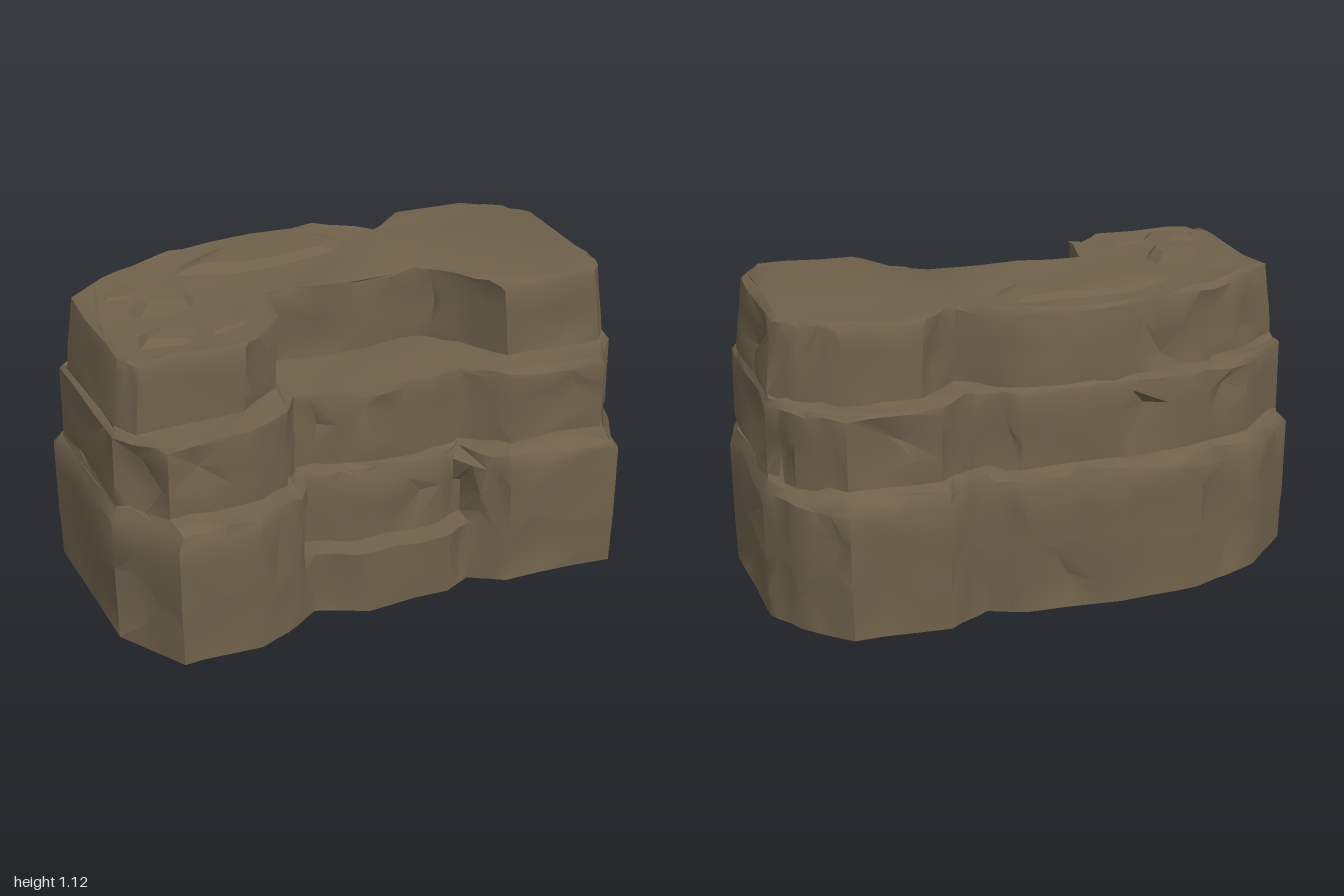
import * as THREE from 'three';
import { ConvexGeometry } from 'three/addons/geometries/ConvexGeometry.js';
import { toCreasedNormals } from 'three/addons/utils/BufferGeometryUtils.js';

const rock = new THREE.MeshStandardMaterial({ color: 0x6f614b, side: THREE.DoubleSide });
rock.name = 'brown rock';

// Outlines (x, z) of the three tiers; matching points lie above one another
const LOWER = [[-1, -.3], [-.8, -.5], [-.53, -.6], [-.22, -.62], [.13, -.59], [.26, -.53], [.42, -.62], [.77, -.6],
  [.92, -.45], [1, -.3], [1, .2], [.95, .36], [.85, .6], [.43, .57], [.31, .49], [.2, .55], [-.12, .55],
  [-.3, .47], [-.4, .54], [-.56, .61], [-.85, .6], [-1, .34]];
const MIDDLE = [[-.97, -.27], [-.76, -.45], [-.5, -.52], [-.22, -.53], [.12, -.5], [.27, -.43], [.42, -.53], [.75, -.51],
  [.9, -.38], [.97, -.26], [.96, .2], [.95, .33], [.83, .5], [.48, .48], [.32, .36], [.2, .39], [-.12, .38],
  [-.31, .32], [-.38, .42], [-.55, .5], [-.84, .49], [-.97, .3]];
const UPPER = [[-.93, -.22], [-.73, -.36], [-.5, -.44], [-.22, -.48], [.1, -.46], [.3, -.32], [.45, -.43], [.72, -.41],
  [.86, -.31], [.93, -.22], [.93, .18], [.92, .28], [.86, .36], [.5, .35], [.4, .18], [.28, .08], [0, .09],
  [-.31, .05], [-.34, .25], [-.5, .36], [-.88, .35], [-.93, .26]];

// Seeded random number between -1 and 1
let seed = 7;
const rand = () => {
  seed = (seed * 16807) % 2147483647;
  return seed / 1073741823.5 - 1;
};

// One horizontal ring: outline scaled, with dented points along each edge
function ring(outline, y, scale, dent, wobble) {
  const points = [];
  outline.forEach(([x, z], i) => {
    const [nx, nz] = outline[(i + 1) % outline.length];
    const length = Math.hypot(nx - x, nz - z);
    points.push(new THREE.Vector3(x * scale, y + rand() * wobble, z * scale));
    for (const part of [1 / 3, 2 / 3]) {
      const t = part + rand() * .13;
      const d = -dent * Math.max(0, rand()) * Math.min(1, length / .25);
      points.push(new THREE.Vector3(
        (x + (nx - x) * t + (nz - z) / length * d) * scale,
        y + rand() * wobble,
        (z + (nz - z) * t - (nx - x) / length * d) * scale));
    }
  });
  return points;
}

// Rough ring halfway between two others, for the ledges
const between = (a, b, wobble) => a.map((p, i) => {
  const q = p.clone().lerp(b[i], .5 + rand() * .3);
  q.y += rand() * wobble;
  return q;
});

// Skin stretched over a stack of rings, with an optional cap
function skin(rings, capped) {
  const n = rings[0].length, index = [];
  for (let r = 0; r < rings.length - 1; r++) {
    for (let i = 0; i < n; i++) {
      const a = r * n + i, b = r * n + (i + 1) % n, c = a + n, d = b + n;
      if (rand() > 0) index.push(a, c, b, b, c, d);
      else index.push(a, c, d, a, d, b);
    }
  }
  if (capped) {
    const flat = rings[rings.length - 1].map(p => new THREE.Vector2(p.x, p.z));
    const start = (rings.length - 1) * n;
    for (const [a, b, c] of THREE.ShapeUtils.triangulateShape(flat, [])) {
      const up = THREE.ShapeUtils.area([flat[a], flat[b], flat[c]]) < 0;
      index.push(start + a, start + (up ? b : c), start + (up ? c : b));
    }
  }
  const geometry = new THREE.BufferGeometry().setFromPoints(rings.flat());
  geometry.setIndex(index);
  return toCreasedNormals(geometry, .75);
}

// Faceted low mound with a smaller top face
function mound(rx, rz, height, sides) {
  const points = [];
  for (let i = 0; i < sides; i++) {
    const a = (i + rand() * .25) / sides * Math.PI * 2, k = 1 + rand() * .2;
    points.push(new THREE.Vector3(Math.cos(a) * rx * k, -.03, Math.sin(a) * rz * k));
    points.push(new THREE.Vector3(Math.cos(a) * rx * k * .6, height + rand() * .004, Math.sin(a) * rz * k * .6));
  }
  return new ConvexGeometry(points);
}

export function createModel() {
  const model = new THREE.Group();
  model.name = 'steppedRock';
  const add = (name, geometry, x = 0, y = 0, z = 0) => {
    const mesh = new THREE.Mesh(geometry, rock);
    mesh.name = name;
    mesh.position.set(x, y, z);
    model.add(mesh);
  };

  // The front recess of the lower tier steps back above a low ledge
  const inRecess = p => Math.abs(p.x) < .31 && p.z > .4;
  const stepBack = points => points.map(p => {
    const q = p.clone();
    q.y += .008;
    if (inRecess(p)) q.z -= .085;
    return q;
  });
  const stepTop = ring(LOWER, .24, .997, .03, .05);
  stepTop.filter(inRecess).forEach(p => { p.y = .245 + rand() * .01; });

  // Summit edge, sinking a little over the front of the right-hand lobe
  const summit = (y, scale, wobble) => {
    const points = ring(UPPER, y, scale, .012, wobble);
    points.forEach(p => { if (p.x < -.36 && p.z > -.1) p.y -= .022; });
    return points;
  };

  // Three tiers, each ending in a ledge that meets the next; open underneath
  const lowerLip = ring(LOWER, .505, .975, .015, .014);
  const middleFoot = ring(MIDDLE, .525, 1, .015, .012);
  const middleLip = ring(MIDDLE, .805, .985, .012, .007);
  const upperFoot = ring(UPPER, .812, 1.025, .012, .008);
  add('lowerTier', skin([
    ring(LOWER, .006, .99, .01, .003), ring(LOWER, .11, .993, .045, .035), stepTop, stepBack(stepTop),
    stepBack(ring(LOWER, .37, .999, .045, .035)), stepBack(ring(LOWER, .465, 1, .015, .015)),
    stepBack(lowerLip), between(stepBack(lowerLip), middleFoot, .018), middleFoot]));
  add('middleTier', skin([
    middleFoot, ring(MIDDLE, .61, 1, .045, .025), ring(MIDDLE, .7, 1, .045, .025),
    ring(MIDDLE, .785, 1, .012, .008), middleLip, between(middleLip, upperFoot, .012), upperFoot]));
  add('upperTier', skin([
    upperFoot, ring(UPPER, .89, 1.018, .045, .025), ring(UPPER, .98, 1.006, .045, .025),
    summit(1.07, .995, .008), summit(1.088, .97, .006)], true));

  // Knob, crest and low humps on the summit
  add('summitKnob', mound(.14, .1, .035, 8), -.65, 1.083, -.03);
  add('summitCrest', mound(.4, .14, .015, 9), -.15, 1.087, -.27);
  for (const [x, z, r] of [[-.72, .19, .15], [-.76, -.18, .12], [-.52, .2, .12], [.78, -.16, .13]])
    add('summitHump', mound(r, r * .75, .006, 5), x, 1.078, z);
  return model;
}
